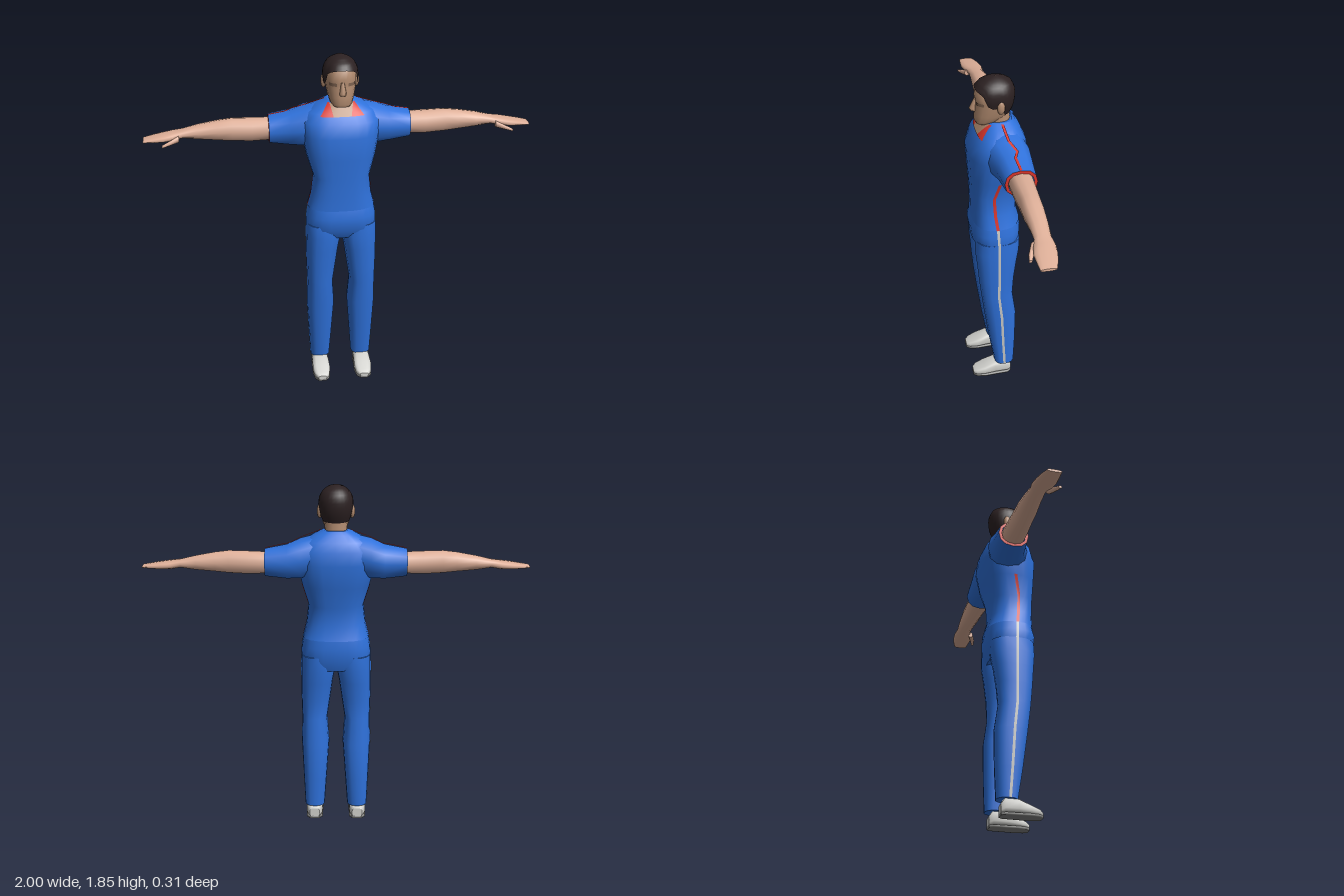
import * as THREE from 'three';
import { mergeGeometries } from 'three/addons/utils/BufferGeometryUtils.js';

const mat = (name, color, side = THREE.FrontSide) => {
  const m = new THREE.MeshStandardMaterial({ color, side });
  m.name = name;
  return m;
};

// surface of nu x nv quads from f(i, j); closed wraps around in i
function grid(nu, nv, f, closed = false) {
  const pos = [], idx = [], cols = closed ? nu : nu + 1;
  for (let j = 0; j <= nv; j++) for (let i = 0; i < cols; i++) pos.push(...f(i, j));
  for (let j = 0; j < nv; j++) for (let i = 0; i < nu; i++) {
    const k = (i + 1) % cols, a = j * cols + i, b = j * cols + k, c = a + cols, d = b + cols;
    idx.push(a, c, b, b, c, d);
  }
  const g = new THREE.BufferGeometry();
  g.setAttribute('position', new THREE.Float32BufferAttribute(pos, 3));
  g.setIndex(idx);
  g.computeVertexNormals();
  return g;
}

// ring = [t, uMin, uMax, vMin, vMax, vMid]; axis order (t,u,v): y->(y,x,z), x->(x,z,y), z->(z,y,x)
function ringPoint([t, u0, u1, v0, v1, vm = (v0 + v1) / 2], a, n, axis = 'y') {
  const pw = (q) => Math.sign(q) * Math.abs(q) ** (2 / n);
  const c = pw(Math.cos(a)), s = pw(Math.sin(a));
  const u = (u0 + u1) / 2 + c * (u1 - u0) / 2;
  const v = vm + s * (s > 0 ? v1 - vm : vm - v0);
  return axis === 'y' ? [u, t, v] : axis === 'x' ? [t, v, u] : [v, u, t];
}

function loft(rings, { axis = 'y', sides = 16, n = 2.3, start = true, end = true } = {}) {
  const P = (r, i) => ringPoint(r, (i / sides) * Math.PI * 2, n, axis);
  const mid = (r) => [r[0], (r[1] + r[2]) / 2, (r[1] + r[2]) / 2, (r[3] + r[4]) / 2, (r[3] + r[4]) / 2];
  const parts = [grid(sides, rings.length - 1, (i, j) => P(rings[j], i), true)];
  const first = rings[0], last = rings[rings.length - 1];
  if (start) parts.push(grid(sides, 1, (i, j) => P(j ? first : mid(first), i), true));
  if (end) parts.push(grid(sides, 1, (i, j) => P(j ? mid(last) : last, i), true));
  return mergeGeometries(parts);
}

// ring interpolated at height y
function ringAt(rings, y) {
  let k = 0;
  while (k < rings.length - 2 && y > rings[k + 1][0]) k++;
  const f = Math.min(1, Math.max(0, (y - rings[k][0]) / (rings[k + 1][0] - rings[k][0])));
  return rings[k].map((v, i) => v + (rings[k + 1][i] - v) * f);
}

// thin strip along a path, its width lying along z
const ribbon = (path, w) => grid(1, path.length - 1, (i, j) => [path[j][0], path[j][1], path[j][2] + (i - 0.5) * w]);

function mirrored(geo) {
  const g = geo.clone().scale(-1, 1, 1), ix = g.index.array;
  for (let i = 0; i < ix.length; i += 3) [ix[i], ix[i + 1]] = [ix[i + 1], ix[i]];
  g.computeVertexNormals();
  return g;
}

// symmetric ring about x = 0
const sym = (y, w, back, front, seam) => [y, -w, w, back, front, seam];

export function createModel() {
  const blue = mat('blue cloth', 0x2f72dc, THREE.DoubleSide);
  const red = mat('red trim', 0xd8352b, THREE.DoubleSide);
  const pale = mat('pale stripe', 0xc9c9c6, THREE.DoubleSide);
  const skin = mat('arm skin', 0xdfb099);
  const face = mat('face skin', 0xb38c70, THREE.DoubleSide);
  const brow = mat('brow shade', 0x7f6350, THREE.DoubleSide);
  const hairMat = mat('dark hair', 0x2c2122, THREE.DoubleSide);
  const shoeMat = mat('shoe', 0xd2d2ce);
  const soleMat = mat('sole', 0x858583);

  const model = new THREE.Group();
  model.name = 'standingMan';
  const add = (name, geo, m) => {
    const mesh = new THREE.Mesh(geo, m);
    mesh.name = name;
    model.add(mesh);
  };
  const pair = (name, geo, m) => {
    add('left' + name, geo, m);
    add('right' + name, mirrored(geo), m);
  };

  // shirt
  const shirt = [
    sym(1.045, 0.176, -0.117, 0.134, 0.02), sym(1.12, 0.157, -0.097, 0.133, 0.03),
    sym(1.22, 0.146, -0.102, 0.136, 0.035), sym(1.33, 0.178, -0.135, 0.143, 0.01),
    sym(1.45, 0.205, -0.155, 0.15, -0.02), sym(1.52, 0.208, -0.145, 0.125, -0.02),
    sym(1.565, 0.175, -0.125, 0.092, -0.02), sym(1.6, 0.11, -0.1, 0.062, -0.02),
    sym(1.62, 0.068, -0.08, 0.046, -0.02),
  ];
  add('shirt', loft(shirt, { sides: 24, n: 2.6, start: false }), blue);
  pair('ShirtStripe', ribbon(shirt.slice(0, 4).map((r) => [r[2] + 0.002, r[0], r[5]]), 0.016), red);

  // sleeves with trim at the cuff
  const sleeve = [
    [0.08, -0.12, 0.07, 1.4, 1.603], [0.18, -0.145, 0.075, 1.37, 1.58],
    [0.25, -0.142, 0.045, 1.37, 1.55], [0.365, -0.134, 0.028, 1.385, 1.528],
  ];
  pair('Sleeve', loft(sleeve, { axis: 'x', sides: 12, end: false }), blue);
  pair('Cuff', loft([sleeve[3], [0.366, -0.118, 0.012, 1.399, 1.512]],
    { axis: 'x', sides: 12, start: false, end: false }), red);
  pair('ShoulderStripe', ribbon([[0.08, 1.619, -0.02], [0.18, 1.584, -0.03], [0.24, 1.558, -0.06],
    [0.28, 1.548, -0.042], [0.365, 1.531, -0.05]], -0.014), red);

  // open collar laid over the upper chest
  const chestPatch = (x0, x1) => grid(8, 4, (i, j) => {
    const y = 1.556 + 0.058 * j / 4, r = ringAt(shirt, y);
    const a = x0[0] + (x0[1] - x0[0]) * j / 4, b = x1[0] + (x1[1] - x1[0]) * j / 4;
    const x = b + (a - b) * i / 8;
    const k = (1 - Math.min(1, Math.abs(x) / r[2]) ** 2.6) ** (1 / 2.6);
    return [x, y, r[5] + (r[4] - r[5]) * k + 0.004];
  });
  add('openNeck', chestPatch([-0.045, -0.06], [0.045, 0.06]), face);
  pair('Collar', chestPatch([0.045, 0.06], [0.112, 0.068]), red);

  // arms, hands and thumbs
  pair('Arm', loft([
    [0.33, -0.115, 0.01, 1.4, 1.51], [0.45, -0.11, 0.005, 1.395, 1.515],
    [0.55, -0.105, 0, 1.4, 1.518], [0.62, -0.105, 0, 1.408, 1.51],
    [0.72, -0.1, -0.008, 1.418, 1.492], [0.8, -0.092, -0.01, 1.43, 1.472],
    [0.85, -0.1, 0.005, 1.422, 1.465], [0.9, -0.095, 0.015, 1.42, 1.457],
    [0.95, -0.085, 0.012, 1.422, 1.448], [1, -0.068, 0.008, 1.424, 1.438],
  ], { axis: 'x', sides: 12 }), skin);
  pair('Thumb', loft([[0.82, -0.02, 0.01, 1.42, 1.455], [0.87, 0.005, 0.03, 1.412, 1.435],
    [0.905, 0.02, 0.036, 1.405, 1.42]], { axis: 'x', sides: 8 }), skin);

  // trousers
  const hips = [
    sym(0.875, 0.165, -0.095, 0.105, 0.015), sym(0.93, 0.186, -0.115, 0.137, 0.015),
    sym(1.0, 0.183, -0.121, 0.145, 0.018), sym(1.06, 0.171, -0.112, 0.129, 0.02),
  ];
  add('hips', loft(hips, { sides: 24, n: 2.6 }), blue);
  const leg = [
    [0.085, 0.062, 0.17, -0.08, 0.03, -0.02], [0.25, 0.05, 0.178, -0.087, 0.057, -0.01],
    [0.45, 0.036, 0.187, -0.09, 0.085, 0], [0.59, 0.046, 0.184, -0.07, 0.102, 0.015],
    [0.7, 0.03, 0.187, -0.078, 0.113, 0.015], [0.8, 0.016, 0.188, -0.092, 0.121, 0.015],
    [0.88, 0.001, 0.188, -0.107, 0.129, 0.015], [0.95, 0.002, 0.186, -0.108, 0.125, 0.015],
  ];
  pair('Leg', loft(leg, { n: 2.4 }), blue);
  pair('TrouserStripe', ribbon([...leg, ...hips.slice(2)].map((r) => [r[2] + 0.0025, r[0], r[5]]), 0.014), pale);

  // shoes
  const shoe = [
    [-0.06, 0.01, 0.06, 0.09, 0.146], [-0.04, 0.01, 0.092, 0.074, 0.162], [0.03, 0.01, 0.09, 0.072, 0.164],
    [0.09, 0.01, 0.063, 0.069, 0.167], [0.135, 0.01, 0.045, 0.077, 0.159], [0.155, 0.01, 0.032, 0.095, 0.141],
  ];
  pair('Shoe', loft(shoe, { axis: 'z', sides: 14, n: 3.2 }), shoeMat);
  pair('Sole', loft(shoe.map(([z, , , a, b]) => [z, 0, 0.016, a, b]), { axis: 'z', sides: 12, n: 6 }), soleMat);

  // neck and head
  add('neck', loft([sym(1.54, 0.066, -0.078, 0.05), sym(1.62, 0.058, -0.072, 0.045),
    sym(1.69, 0.06, -0.07, 0.05)], { sides: 14 }), face);
  const head = [
    sym(1.605, 0.042, 0.02, 0.1, 0.06), sym(1.62, 0.056, -0.01, 0.108, 0.04),
    sym(1.655, 0.068, -0.06, 0.108, 0.01), sym(1.7, 0.076, -0.08, 0.104, 0),
    sym(1.725, 0.078, -0.084, 0.1, 0), sym(1.75, 0.079, -0.086, 0.106, 0),
    sym(1.8, 0.072, -0.082, 0.094, 0), sym(1.835, 0.04, -0.045, 0.05, 0),
  ];
  add('head', loft(head, { sides: 18, n: 2.4 }), face);
  add('nose', loft([sym(1.672, 0.016, 0.09, 0.125), sym(1.685, 0.017, 0.09, 0.133),
    sym(1.735, 0.008, 0.09, 0.108)], { sides: 8 }), face);
  pair('Ear', new THREE.SphereGeometry(1, 10, 8).scale(0.014, 0.036, 0.02).translate(0.084, 1.714, -0.012), face);
  // eye shadows under the brow
  pair('EyeShade', grid(4, 1, (i, j) => {
    const y = 1.715 + j * 0.016, a = 0.4 * Math.PI - (i / 4) * 0.2 * Math.PI;
    const p = ringPoint(ringAt(head, y), a, 2.4);
    return [p[0], y, p[2] + 0.004];
  }), brow);

  // hair, with its lower edge running from forehead to nape
  const hair = [
    sym(1.65, 0.066, -0.068, 0.1, 0), sym(1.7, 0.084, -0.09, 0.107, 0), sym(1.75, 0.091, -0.098, 0.112, 0),
    sym(1.79, 0.086, -0.095, 0.108, 0), sym(1.82, 0.068, -0.078, 0.085, 0), sym(1.842, 0.036, -0.045, 0.046, 0),
    sym(1.85, 0.001, -0.001, 0.001, 0),
  ];
  const hairline = [[-1, 1.66], [-0.35, 1.665], [-0.1, 1.72], [0.1, 1.705], [0.4, 1.715], [0.65, 1.78], [1, 1.795]];
  add('hair', grid(28, 10, (i, j) => {
    const a = (i / 28) * Math.PI * 2, low = ringAt(hairline, Math.sin(a))[1];
    const y = low + (1.85 - low) * (1 - (1 - j / 10) ** 1.5);
    return ringPoint(ringAt(hair, y), a, 2.2);
  }, true), hairMat);

  return model;
}
